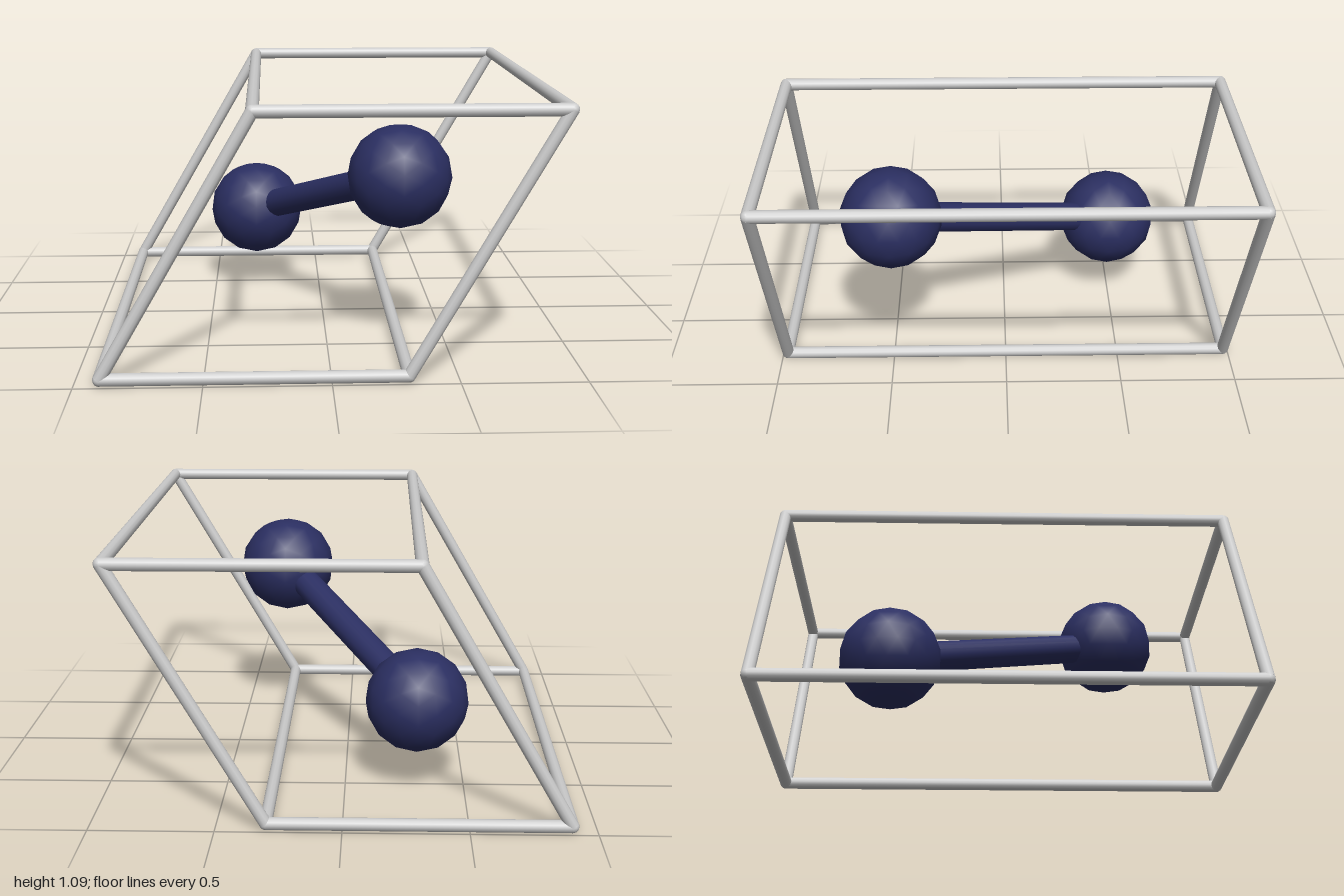
import * as THREE from 'three';

const R = 0.026;          // frame rod radius
const Z = 0.974;          // half depth of the cell
const MID = 0.547;        // height of the cell centre

// Cylinder running between two points
function rod(name, a, b, radius, sides, material) {
  const dir = b.clone().sub(a);
  const mesh = new THREE.Mesh(new THREE.CylinderGeometry(radius, radius, dir.length(), sides), material);
  mesh.name = name;
  mesh.position.copy(a).add(b).multiplyScalar(0.5);
  mesh.quaternion.setFromUnitVectors(new THREE.Vector3(0, 1, 0), dir.normalize());
  return mesh;
}

function ball(name, p, geometry, material) {
  const mesh = new THREE.Mesh(geometry, material);
  mesh.name = name;
  mesh.position.copy(p);
  return mesh;
}

export function createModel() {
  const model = new THREE.Group();
  model.name = 'crystalCell';
  const grey = new THREE.MeshStandardMaterial({ color: 0xcccccc });
  const navy = new THREE.MeshStandardMaterial({ color: 0x2b2f62 });

  // Rhombic cell frame: two slanted outlines joined by depth rods
  const frame = new THREE.Group();
  frame.name = 'cellFrame';
  const outline = [[-0.9, -0.52], [0.3, -0.52], [0.9, 0.52], [-0.3, 0.52]];
  const corner = (i, z) => new THREE.Vector3(outline[i % 4][0], MID + outline[i % 4][1], z);
  const joint = new THREE.SphereGeometry(R, 12, 8);
  for (let i = 0; i < 4; i++) {
    for (const z of [-Z, Z]) {
      frame.add(rod('outlineRod', corner(i, z), corner(i + 1, z), R, 12, grey));
      frame.add(ball('cornerJoint', corner(i, z), joint, grey));
    }
    frame.add(rod('depthRod', corner(i, -Z), corner(i, Z), R, 12, grey));
  }
  model.add(frame);

  // Two atoms and the bond between them
  const molecule = new THREE.Group();
  molecule.name = 'atomPair';
  const back = new THREE.Vector3(-0.3, MID - 0.173, -Z / 2);
  const front = new THREE.Vector3(0.3, MID + 0.173, Z / 2);
  const atom = new THREE.IcosahedronGeometry(0.217, 2);
  molecule.add(ball('backAtom', back, atom, navy));
  molecule.add(ball('frontAtom', front, atom, navy));
  molecule.add(rod('bond', back, front, 0.065, 16, navy));
  model.add(molecule);
  return model;
}
